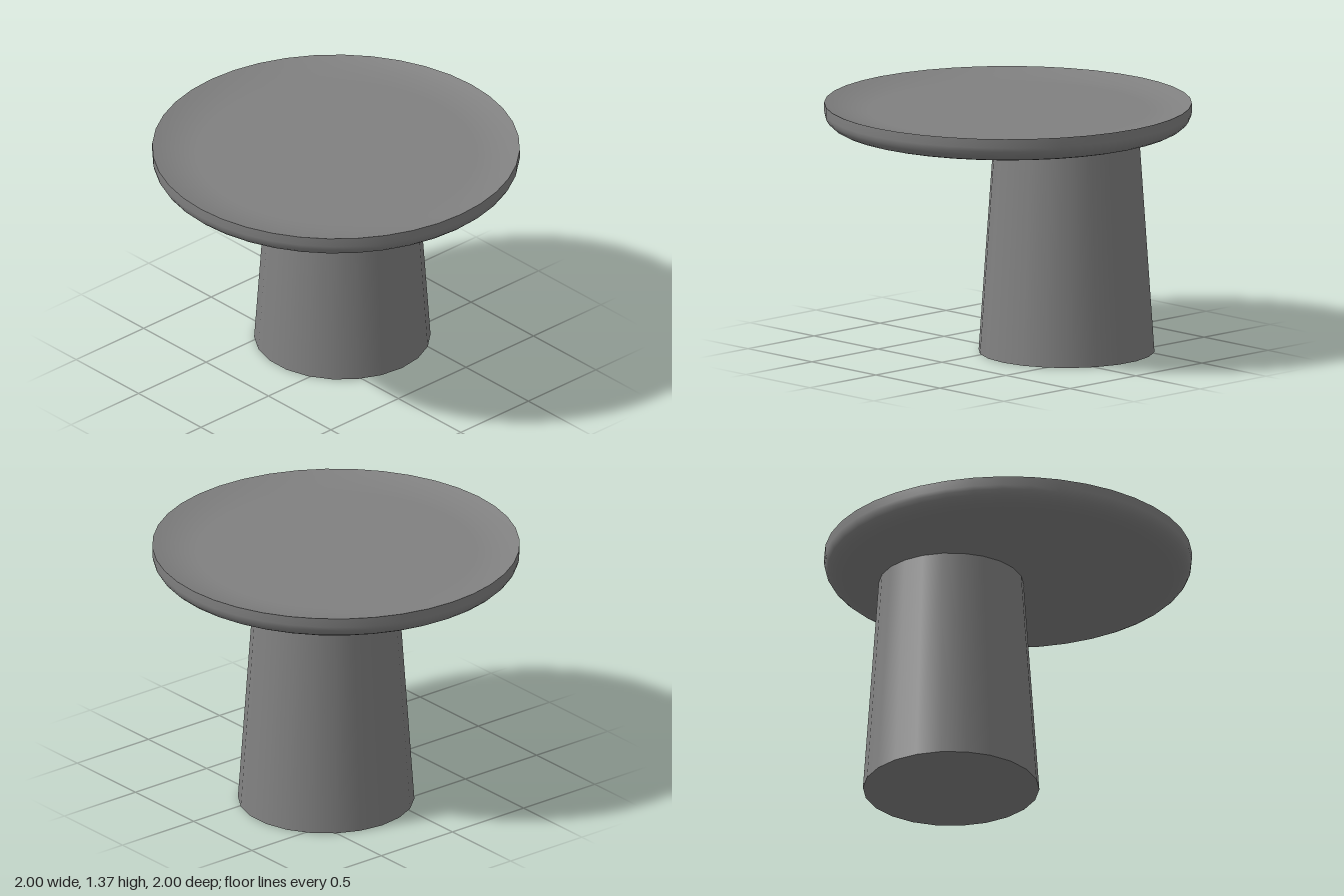
import * as THREE from 'three';

export function createModel() {
  const group = new THREE.Group();
  const material = new THREE.MeshStandardMaterial({ color: 0x808080 });
  const addPart = (name, geometry) => {
    const mesh = new THREE.Mesh(geometry, material);
    mesh.name = name;
    group.add(mesh);
    return mesh;
  };

  // Underside and side of the solid top: rounded lower edge, upright rim
  const outer = [new THREE.Vector2(0, 1.23), new THREE.Vector2(0.8, 1.23)];
  for (let i = 0; i <= 6; i++) {
    const a = (i / 6) * Math.PI / 2;
    outer.push(new THREE.Vector2(0.87 + 0.13 * Math.sin(a), 1.23 + 0.09 * (1 - Math.cos(a))));
  }
  outer.push(new THREE.Vector2(1, 1.37));
  addPart('topBody', new THREE.LatheGeometry(outer, 40));

  // Gently dished upper surface, curving down from the sharp rim to a flat floor
  const dish = [];
  for (let i = 6; i >= 0; i--) {
    const t = i / 6;
    dish.push(new THREE.Vector2(0.76 + 0.24 * t, 1.33 + 0.04 * t * t));
  }
  dish.push(new THREE.Vector2(0, 1.33));
  addPart('dishedSurface', new THREE.LatheGeometry(dish, 40));

  // Tapered pedestal, set off-centre under the top
  const height = 1.235;
  const pedestal = addPart('pedestal', new THREE.CylinderGeometry(0.394, 0.48, height, 22));
  pedestal.position.set(0.241, height / 2, -0.21);

  return group;
}
